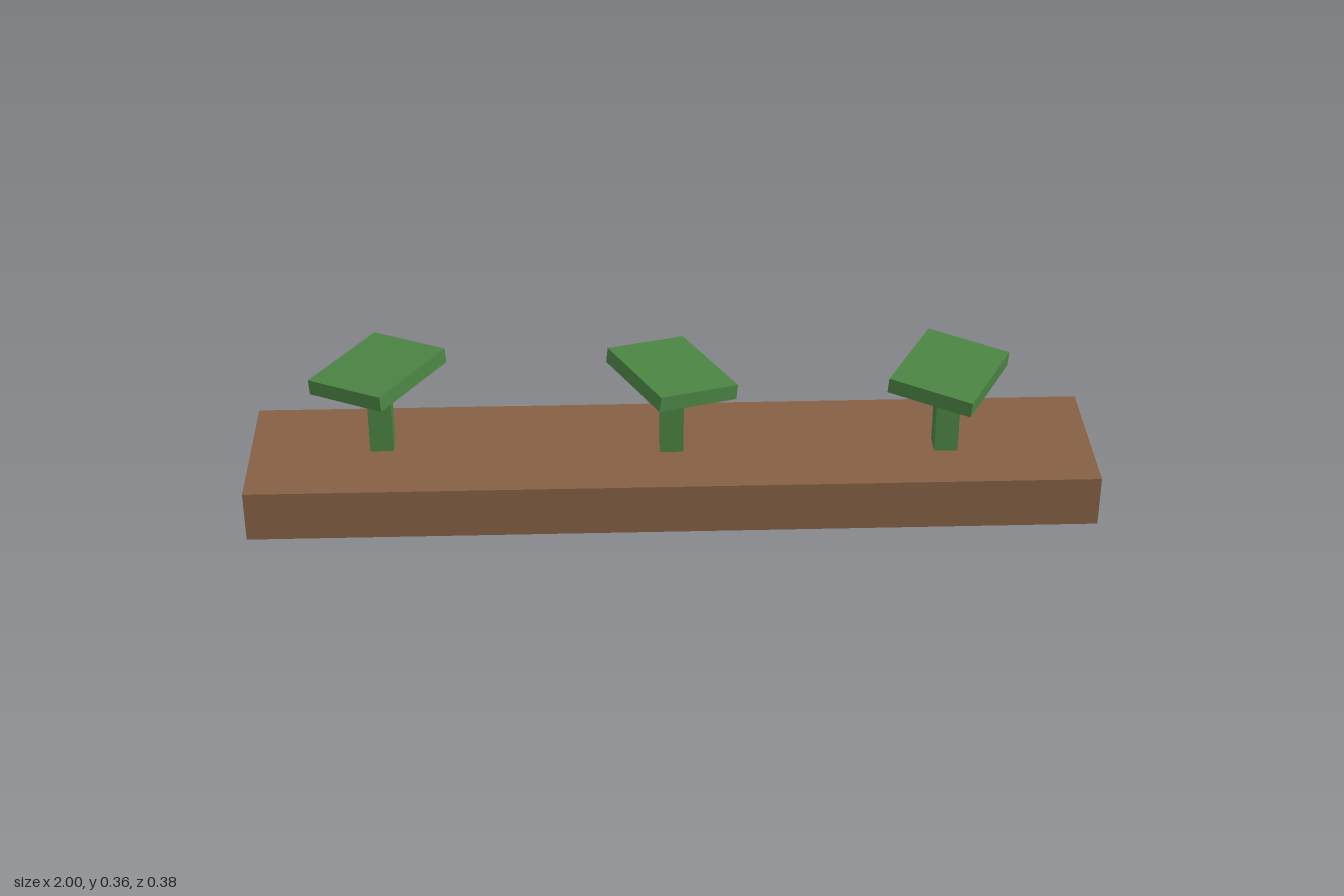
import * as THREE from 'three';

// Box without its bottom face
function openBox(w, h, d) {
  const geo = new THREE.BoxGeometry(w, h, d);
  const index = Array.from(geo.index.array);
  index.splice(18, 6);
  geo.setIndex(index);
  geo.clearGroups();
  return geo;
}

function addPart(parent, name, geometry, material, x, y, z) {
  const mesh = new THREE.Mesh(geometry, material);
  mesh.name = name;
  mesh.position.set(x, y, z);
  parent.add(mesh);
  return mesh;
}

export function createModel() {
  const model = new THREE.Group();
  model.name = 'planter';
  const soil = new THREE.MeshStandardMaterial({ color: 0x845f44, side: THREE.DoubleSide });
  soil.name = 'soil brown';
  const leaf = new THREE.MeshStandardMaterial({ color: 0x4b8343, side: THREE.DoubleSide });
  leaf.name = 'leaf green';

  // Long bed, hollow underneath
  addPart(model, 'bed', openBox(2, 0.125, 0.376), soil, 0, 0.0625, 0);

  // Three plants: square stem and a turned, slightly tilted hollow cap
  const stemGeo = openBox(0.056, 0.21, 0.056);
  const capGeo = openBox(0.205, 0.037, 0.262);
  const plants = [
    { x: -0.688, z: -0.019, y: 0.329, turn: -0.56, tilt: 0.07 },
    { x: 0, z: 0.007, y: 0.325, turn: 0.475, tilt: -0.12 },
    { x: 0.651, z: 0.023, y: 0.325, turn: -0.472, tilt: -0.078 },
  ];
  for (const p of plants) {
    const plant = new THREE.Group();
    plant.name = 'plant';
    plant.position.set(p.x, 0, p.z);
    addPart(plant, 'stem', stemGeo, leaf, 0, 0.23, 0);
    const cap = addPart(plant, 'leafCap', capGeo, leaf, 0, p.y, 0);
    cap.rotation.set(0, p.turn, p.tilt);
    model.add(plant);
  }
  return model;
}
